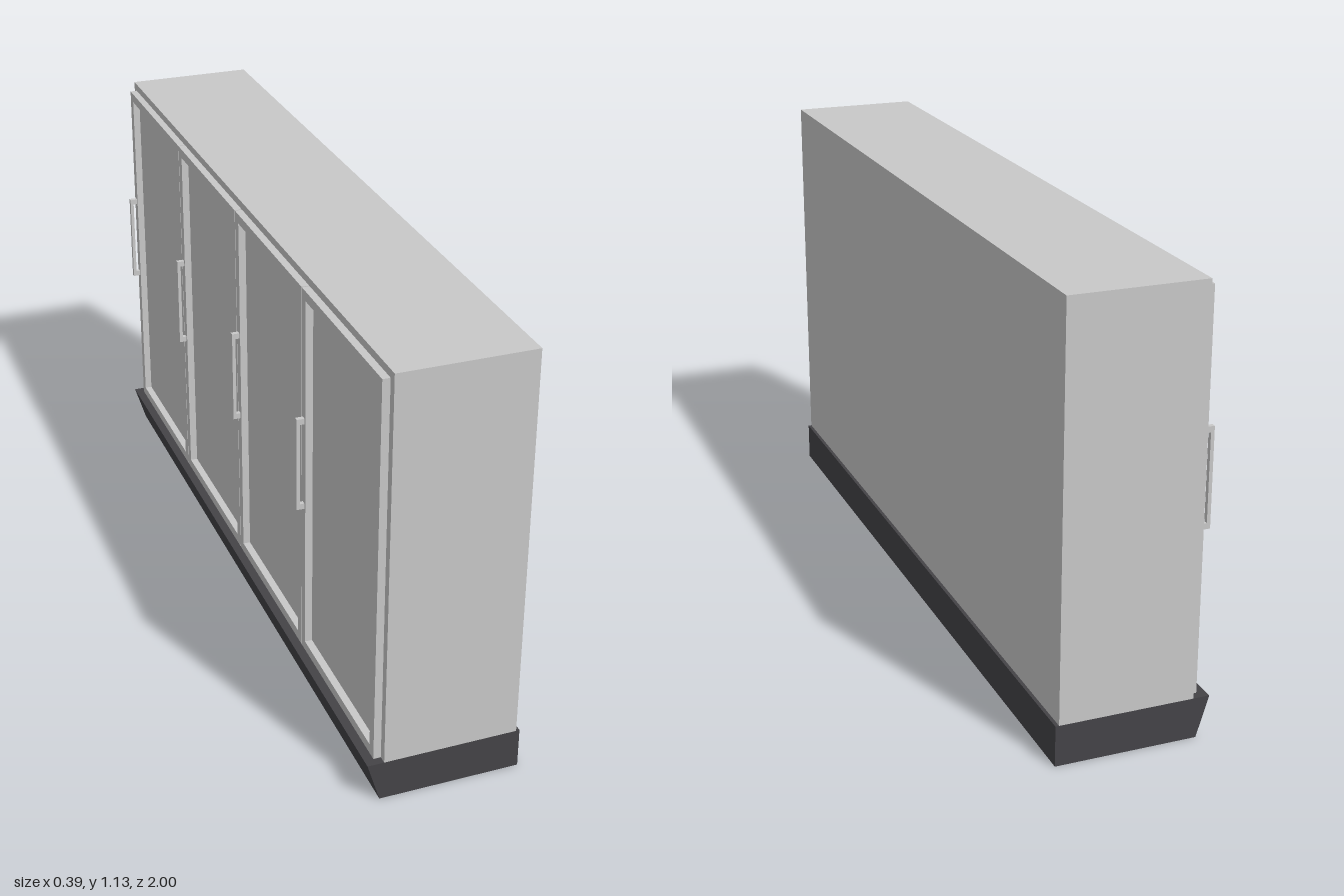
import * as THREE from 'three';

const steel = new THREE.MeshStandardMaterial({ color: 0xc8c8c8 });
steel.name = 'light grey';
const plinthDark = new THREE.MeshStandardMaterial({ color: 0x444347 });
plinthDark.name = 'dark grey';

// Extrudes a shape drawn as (z, y) towards -x, starting from x = startX.
function extrudeSideways(shape, depth, startX, material, name) {
  const geometry = new THREE.ExtrudeGeometry(shape, { depth, bevelEnabled: false });
  geometry.rotateY(-Math.PI / 2);
  geometry.translate(startX, 0, 0);
  const mesh = new THREE.Mesh(geometry, material);
  mesh.name = name;
  return mesh;
}

function box(x0, x1, y0, y1, z0, z1, name) {
  const mesh = new THREE.Mesh(new THREE.BoxGeometry(x1 - x0, y1 - y0, z1 - z0), steel);
  mesh.position.set((x0 + x1) / 2, (y0 + y1) / 2, (z0 + z1) / 2);
  mesh.name = name;
  return mesh;
}

function rectangle(path, a0, a1, b0, b1) {
  path.moveTo(a0, b0);
  path.lineTo(a1, b0);
  path.lineTo(a1, b1);
  path.lineTo(a0, b1);
  path.closePath();
  return path;
}

// One door: a raised frame around a recessed panel, plus a bar handle.
function createDoor(z0, z1) {
  const door = new THREE.Group();
  door.name = 'door';
  const border = 0.025, bottom = 0.105, top = 1.112;
  const frame = rectangle(new THREE.Shape(), z0, z1, bottom, top);
  frame.holes.push(rectangle(new THREE.Path(), z0 + border, z1 - border, bottom + border, top - border));
  door.add(extrudeSideways(frame, 0.019, -0.155, steel, 'doorFrame'));

  const h0 = z0 + 0.007, h1 = z0 + 0.019;
  door.add(box(-0.194, -0.185, 0.523, 0.775, h0, h1, 'handleBar'));
  door.add(box(-0.185, -0.174, 0.523, 0.538, h0, h1, 'handleLowerMount'));
  door.add(box(-0.185, -0.174, 0.76, 0.775, h0, h1, 'handleUpperMount'));
  return door;
}

export function createModel() {
  const model = new THREE.Group();
  model.name = 'cabinet';

  // Plinth with a sloping toe kick on the door side
  const profile = new THREE.Shape([
    new THREE.Vector2(-0.165, 0), new THREE.Vector2(0.196, 0),
    new THREE.Vector2(0.196, 0.105), new THREE.Vector2(-0.197, 0.105),
  ]);
  const plinthGeometry = new THREE.ExtrudeGeometry(profile, { depth: 2, bevelEnabled: false });
  plinthGeometry.translate(0, 0, -1);
  const plinth = new THREE.Mesh(plinthGeometry, plinthDark);
  plinth.name = 'plinth';
  model.add(plinth);

  // Cabinet body
  model.add(box(-0.155, 0.187, 0.105, 1.132, -1, 1, 'body'));

  // Row of four doors
  const pitch = 0.49, gap = 0.003;
  for (let i = 0; i < 4; i++) {
    const start = -0.978 + i * pitch;
    model.add(createDoor(start, start + pitch - gap));
  }
  return model;
}
